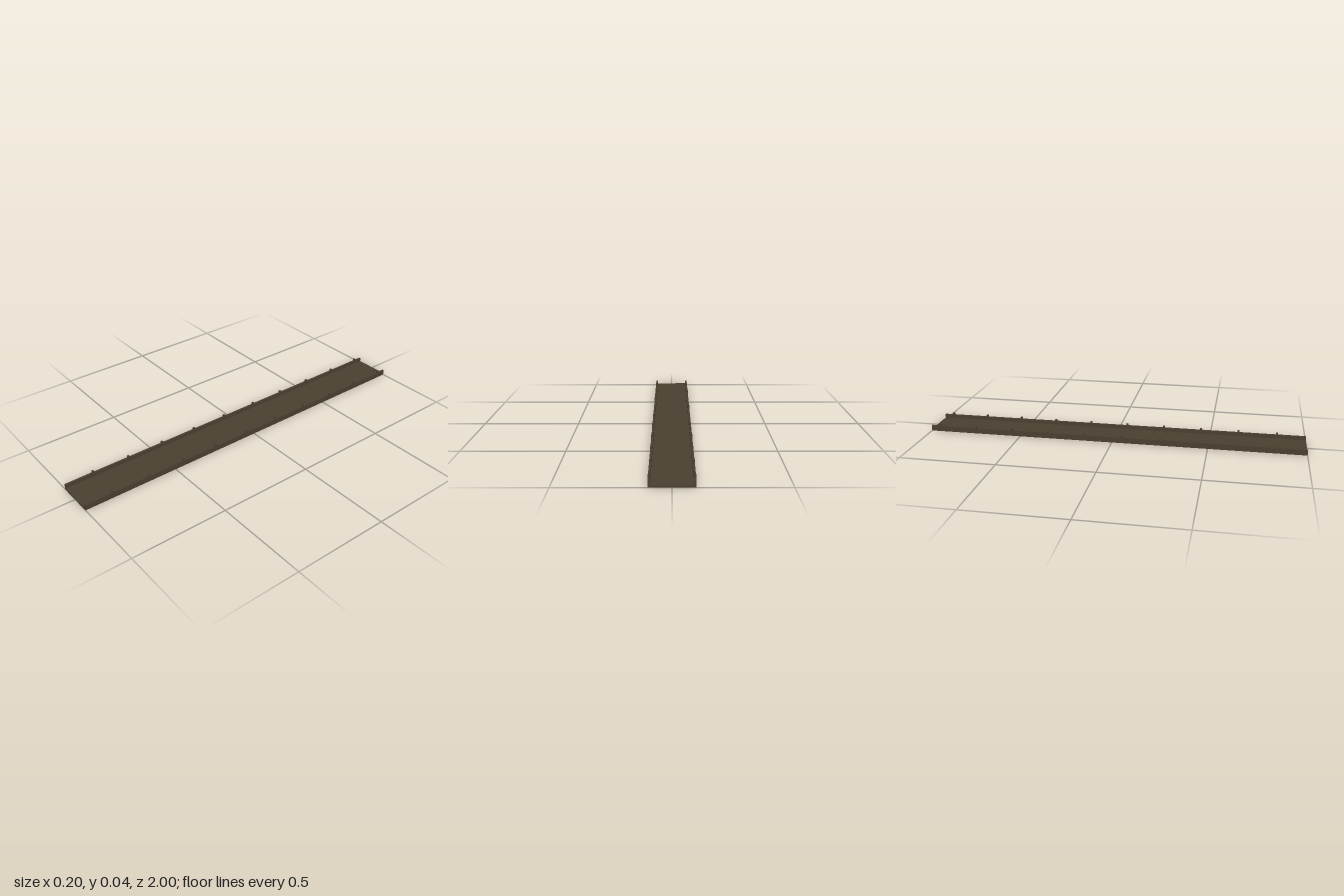
import * as THREE from 'three';

export function createModel() {
  const group = new THREE.Group();
  const wood = new THREE.MeshStandardMaterial({ color: 0x4a4030 });
  wood.name = 'dark wood';

  function box(name, w, h, d, x, y, z) {
    const mesh = new THREE.Mesh(new THREE.BoxGeometry(w, h, d), wood);
    mesh.name = name;
    mesh.position.set(x, y, z);
    group.add(mesh);
  }

  // Long flat deck
  box('deck', 0.2, 0.01, 2, 0, 0.005, 0);

  // Side curbs with evenly spaced short posts
  for (const side of [1, -1]) {
    const label = side > 0 ? 'left' : 'right';
    box(label + 'Curb', 0.01, 0.02, 2, side * 0.095, 0.02, 0);
    for (let i = 0; i < 10; i++) {
      box(label + 'Post' + (i + 1), 0.011, 0.03, 0.01, side * 0.095, 0.025, 0.85 - i * 0.2);
    }
  }
  return group;
}
